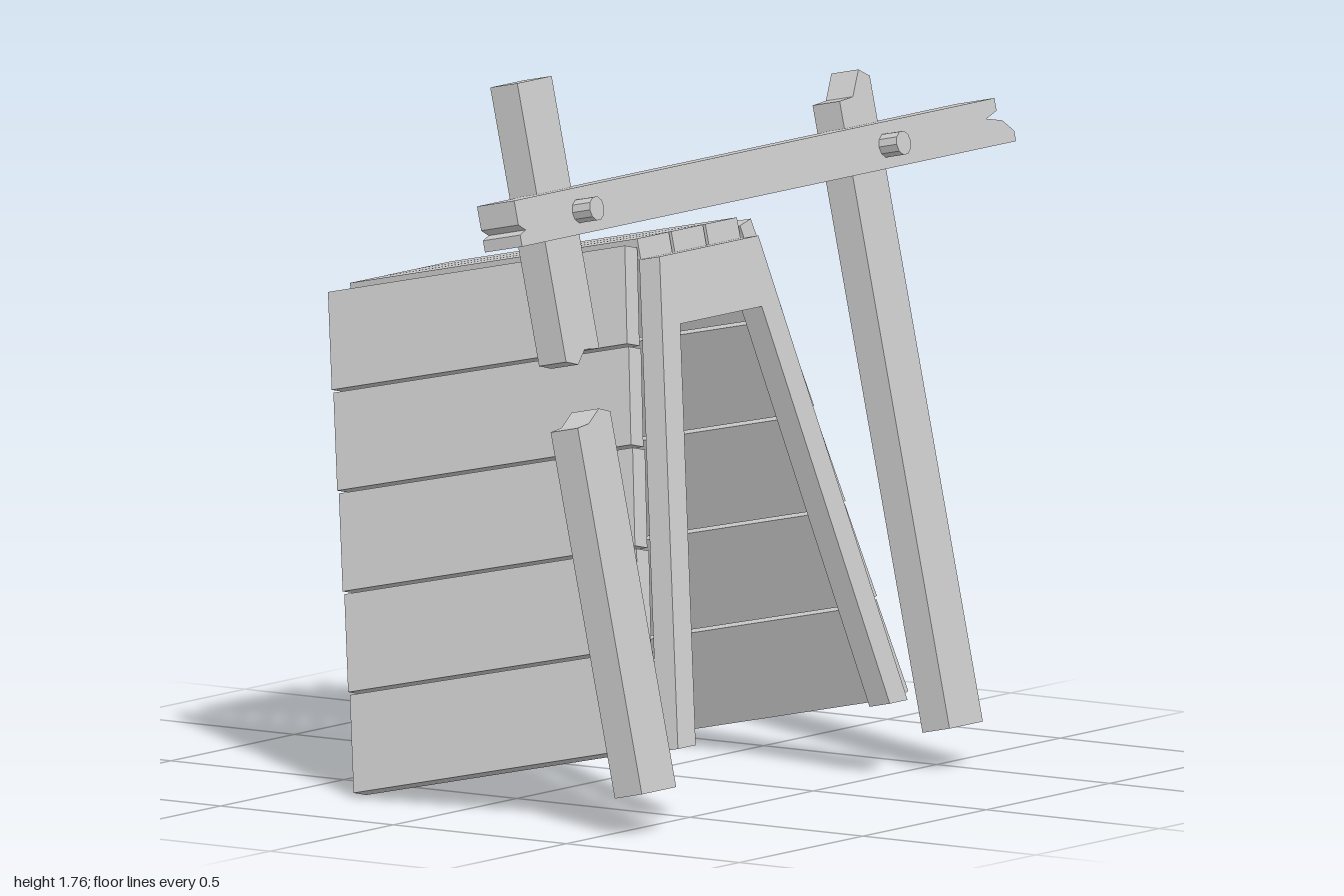
import * as THREE from 'three';

const TILT = 0.2135; // the whole structure leans sideways
const MID = 0.135; // z of the shelter's centre line

export function createModel() {
  const root = new THREE.Group();
  root.name = 'leaningShelter';
  const leaning = new THREE.Group();
  leaning.name = 'leaningParts';
  leaning.rotation.z = TILT;
  root.add(leaning);
  const material = new THREE.MeshStandardMaterial({ color: 0xcccccc, flatShading: true });

  const add = (name, geometry) => {
    const mesh = new THREE.Mesh(geometry, material);
    mesh.name = name;
    leaning.add(mesh);
    return mesh;
  };

  // Flat timber cut from a [z, y] outline, running from x0 to x1
  const timber = (name, outline, x0, x1) => {
    const shape = new THREE.Shape(outline.map(([z, y]) => new THREE.Vector2(-z, y)));
    const g = new THREE.ExtrudeGeometry(shape, { depth: x1 - x0, bevelEnabled: false });
    g.rotateY(Math.PI / 2);
    g.translate(x0, 0, 0);
    return add(name, g);
  };

  // Roof boards
  for (let i = 0; i < 3; i++) {
    const g = new THREE.BoxGeometry(0.85, 0.05, 0.128);
    g.translate(0.086, 1.24, MID + (i - 1) * 0.138);
    add('roofBoard', g);
  }

  // Sloping wall boards, flaring slightly towards the far end
  const wallBoard = (side, i) => {
    const g = new THREE.BoxGeometry(1, 1, 1);
    const p = g.attributes.position;
    const top = 1.255 - i * 0.2345;
    for (let k = 0; k < p.count; k++) {
      const right = p.getX(k) > 0;
      const upper = p.getY(k) > 0;
      const outer = p.getZ(k) * side > 0;
      let y = upper ? top : top - 0.227;
      const drop = (1.255 - y) / 1.165;
      let half = 0.258 + 0.277 * drop + (upper ? -0.003 : 0.003);
      const x = right ? 0.511 + 0.007 * drop : -0.339 + 0.029 * drop;
      half += (0.511 - x) * 0.045;
      if (!outer) {
        half -= 0.047;
        y -= 0.011;
      }
      p.setXYZ(k, x, y, MID + side * half);
    }
    g.computeVertexNormals();
    add(side > 0 ? 'leftWallBoard' : 'rightWallBoard', g);
  };
  for (const side of [1, -1]) {
    for (let i = 0; i < 5; i++) wallBoard(side, i);
  }

  // Entrance frame: two splayed legs joined by a lintel
  const halfFrame = [[0.2, 1.215], [0.465, 0.072], [0.393, 0.072], [0.165, 1.05]];
  timber('entranceFrame', [
    ...halfFrame.map(([z, y]) => [MID + z, y]),
    ...halfFrame.slice().reverse().map(([z, y]) => [MID - z, y]),
  ], 0.505, 0.565);

  // Posts: one whole with a splintered top, one snapped in two
  const POST = [0.525, 0.605];
  timber('rightPost', [
    [-0.42, -0.013], [-0.555, -0.013], [-0.555, 1.53], [-0.515, 1.55], [-0.475, 1.49], [-0.42, 1.486],
  ], ...POST);
  timber('brokenPostLower', [
    [0.826, -0.013], [0.687, -0.013], [0.687, 0.885], [0.73, 0.897], [0.78, 0.867], [0.826, 0.862],
  ], ...POST);
  timber('brokenPostUpper', [
    [0.826, 1.686], [0.687, 1.686], [0.687, 1.035], [0.745, 1.04], [0.78, 1.008], [0.826, 1.02],
  ], ...POST);

  // Crossbar with splintered ends
  timber('crossbar', [
    [1, 1.42], [1, 1.362], [0.975, 1.347], [1, 1.338], [1, 1.31],
    [-1, 1.31], [-1, 1.335], [-0.96, 1.365], [-0.9, 1.376], [-0.945, 1.39], [-0.945, 1.42],
  ], 0.555, 0.665);

  // Pegs through crossbar and posts
  for (const z of [0.752, -0.49]) {
    const g = new THREE.CylinderGeometry(0.029, 0.029, 0.12, 10);
    g.rotateZ(Math.PI / 2);
    g.translate(0.657, 1.364, z);
    add('peg', g);
  }

  return root;
}
